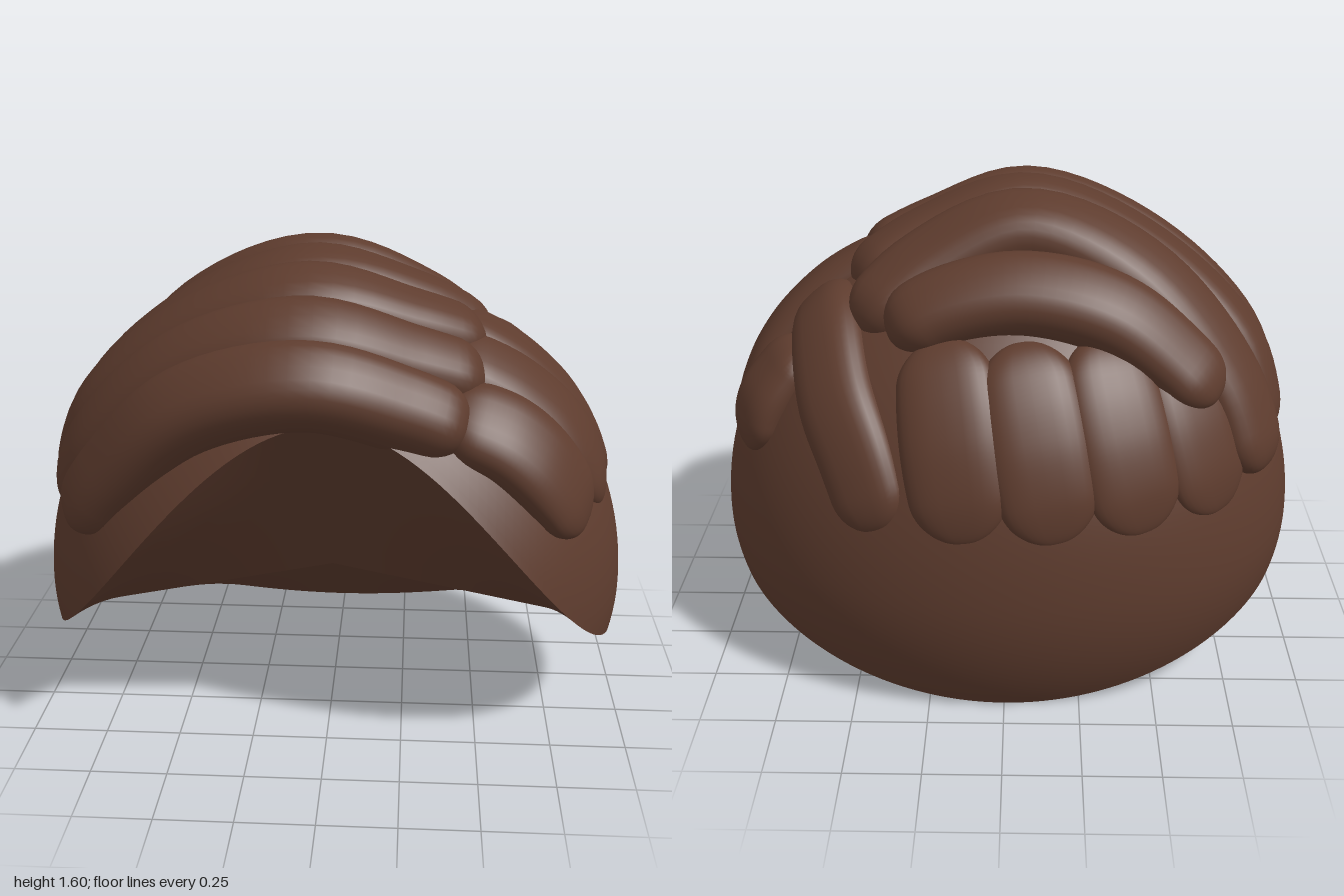
import * as THREE from 'three';
import { mergeVertices } from 'three/addons/utils/BufferGeometryUtils.js';

const V = (x, y, z) => new THREE.Vector3(x, y, z);
const CY = 0.45, CZ = 0.03; // centre of the egg-shaped scalp
const UP = 1.0, DOWN = 0.83, FRONT = 0.85, BACK = 0.8; // its radii (x radius is 1)

const hair = new THREE.MeshStandardMaterial({ color: 0x5e3c2e });
const hairDouble = new THREE.MeshStandardMaterial({ color: 0x5e3c2e, side: THREE.DoubleSide });

// Smooth surface from a function of u, v in 0..1
function surface(fn, nu, nv) {
  const pos = [], index = [];
  for (let i = 0; i <= nu; i++)
    for (let j = 0; j <= nv; j++) pos.push(...fn(i / nu, j / nv).toArray());
  for (let i = 0; i < nu; i++)
    for (let j = 0; j < nv; j++) {
      const a = i * (nv + 1) + j, b = a + nv + 1;
      index.push(a, b, a + 1, b, b + 1, a + 1);
    }
  let geo = new THREE.BufferGeometry();
  geo.setAttribute('position', new THREE.Float32BufferAttribute(pos, 3));
  geo.setIndex(index);
  geo = mergeVertices(geo, 1e-5);
  geo.computeVertexNormals();
  return geo;
}

// Point on the scalp: slice at x, angle a from the front over the top to the back
function scalp(x, a) {
  const s = Math.sqrt(Math.max(0, 1 - x * x)), sn = Math.sin(a), cs = Math.cos(a);
  return V(x, CY + s * sn * (sn > 0 ? UP : DOWN), CZ + s * cs * (cs > 0 ? FRONT : BACK));
}

function scalpNormal(p) {
  const ry = p.y > CY ? UP : DOWN, rz = p.z > CZ ? FRONT : BACK;
  return V(p.x, (p.y - CY) / ry ** 2, (p.z - CZ) / rz ** 2).normalize();
}

// Moves a point that has sunk into the scalp out to the given fraction of its radius
function rest([x, y, z], least) {
  const r = Math.hypot(x, (y - CY) / UP, (z - CZ) / (z > CZ ? FRONT : BACK));
  const k = Math.max(1, least / r);
  return [x * k, CY + (y - CY) * k, CZ + (z - CZ) * k];
}

// Angle at which the slice at x reaches height y
function angleAt(x, y) {
  const s = Math.sqrt(1 - x * x), k = (y - CY) / ((y > CY ? UP : DOWN) * s);
  return Math.asin(THREE.MathUtils.clamp(k, -1, 1));
}
const hairline = x => angleAt(x, 0.29 + 0.86 * Math.max(0, Math.cos(x / 0.975 * Math.PI / 2)) ** 1.2);
const nape = x => Math.PI - angleAt(x, 0.29 * x * x);
const slice = u => Math.sin((2 * u - 1) * Math.PI / 2 * 0.9999);

// Ridge where the two underside faces meet
function crease(x) {
  return V(x, Math.max(0.49 - 0.2 * Math.abs(x), scalp(x, nape(x)).y),
    Math.min(0.15, scalp(x, hairline(x)).z));
}

// Rounded lock of hair lying on the scalp, thinning to its tip; w and d are half width and half depth
function lock(name, points, w, d) {
  const curve = new THREE.CatmullRomCurve3(points.map(p => V(...p)), false, 'centripetal');
  const len = curve.getLength();
  const geo = surface((u, v) => {
    const t = (1 - Math.cos(u * Math.PI)) / 2;
    const p = curve.getPointAt(t), T = curve.getTangentAt(t), N = scalpNormal(p);
    N.addScaledVector(T, -N.dot(T)).normalize();
    const B = T.clone().cross(N);
    const end = Math.min(1, Math.min(t, 1 - t) * len / (w * 0.9));
    const round = Math.sqrt(Math.max(0, 1 - (1 - end) ** 2));
    const width = w * round * (0.86 + 0.14 * Math.sin(t * Math.PI));
    const depth = d * round * (1 - 0.3 * THREE.MathUtils.smoothstep(t, 0.5, 1));
    const th = v * Math.PI * 2 - Math.PI / 2;
    const c = Math.cos(th), s = Math.sin(th);
    return p.addScaledVector(B, Math.sign(c) * Math.abs(c) ** 0.75 * width)
      .addScaledVector(N, Math.sign(s) * Math.abs(s) ** 0.9 * depth);
  }, 48, 28);
  const mesh = new THREE.Mesh(geo, hair);
  mesh.name = name;
  return mesh;
}

export function createModel() {
  const model = new THREE.Group();
  model.name = 'hair';
  const add = (name, geo) => {
    const mesh = new THREE.Mesh(geo, hairDouble);
    mesh.name = name;
    model.add(mesh);
  };

  // Scalp cap and its two underside faces
  add('cap', surface((u, v) => {
    const x = slice(u);
    return scalp(x, THREE.MathUtils.lerp(hairline(x), nape(x), v));
  }, 96, 64));
  add('frontUnderside', surface((u, v) => {
    const x = slice(u);
    return crease(x).lerp(scalp(x, hairline(x)), v);
  }, 96, 6));
  add('napeUnderside', surface((u, v) => {
    const x = slice(u);
    return scalp(x, nape(x)).lerp(crease(x), v);
  }, 96, 6));

  // Long locks sweeping from the parting over the crown to the right side:
  // crown height, tip height, z at parting, crown and tip, x scale to tip and to parting, half width, half depth
  const sweepX = [0.4, 0.24, -0.06, -0.45, -0.73, -0.88];
  const rise = [0.54, 0.83, 1, 0.81, 0.36, 0];
  const toStart = [1, 0.4, 0, 0, 0, 0], toTip = [0, 0, 0, 0.25, 0.65, 1];
  [
    [1.35, 1.02, -0.37, -0.35, -0.42, 0.76, 0.9, 0.14, 0.11],
    [1.49, 0.74, -0.28, -0.12, -0.36, 0.95, 1.08, 0.155, 0.11],
    [1.5, 0.76, -0.07, 0.12, -0.12, 1, 1.08, 0.15, 0.1],
    [1.46, 0.77, 0.13, 0.32, 0.08, 1.01, 1.02, 0.145, 0.11],
    [1.38, 0.77, 0.31, 0.5, 0.27, 0.99, 1.04, 0.14, 0.12],
    [1.28, 0.75, 0.48, 0.635, 0.44, 0.94, 0.98, 0.14, 0.12],
  ].forEach(([top, tip, zs, zm, ze, toRight, toLeft, w, d], i) => {
    const pts = sweepX.map((x, k) => rest([
      x * (x < 0 ? toRight : toLeft),
      tip + (top - tip) * rise[k],
      zm + (zs - zm) * toStart[k] + (ze - zm) * toTip[k],
    ], [0.97, 0.99, 1.01, 1.01, 1.01, 0.965][k]));
    model.add(lock('sweptLock' + (i + 1), pts, w, d));
  });

  // Short locks falling from the parting down the left side
  [
    [[0.34, 1.15, 0.5], [0.57, 1.08, 0.51], [0.73, 0.92, 0.48], [0.82, 0.77, 0.43]],
    [[0.34, 1.24, 0.3], [0.6, 1.17, 0.28], [0.78, 1.0, 0.25], [0.87, 0.77, 0.2]],
    [[0.34, 1.3, 0.1], [0.6, 1.2, 0.08], [0.79, 1.0, 0.02], [0.89, 0.77, -0.05]],
    [[0.62, 1.1, -0.2], [0.73, 1.04, -0.23], [0.81, 0.93, -0.26], [0.86, 0.77, -0.28]],
  ].forEach((pts, i) => model.add(lock('sideLock' + (i + 1),
    pts.map(p => rest(p, 0.98)), i < 3 ? 0.155 : 0.13, i < 3 ? 0.08 : 0.07)));

  // Long lock running from the parting to the back
  model.add(lock('crossingLock', [[0.6, 1.17, 0.02], [0.58, 1.18, -0.2], [0.53, 1.03, -0.43],
    [0.46, 0.88, -0.56], [0.39, 0.67, -0.66]], 0.14, 0.09));

  // Locks fanning down the back
  [[-0.52, -0.7], [-0.3, -0.45], [-0.05, -0.17], [0.2, 0.12]].forEach(([x0, x1], i) => {
    const pts = [1.24, 1.06, 0.86, 0.67].map((y, k) => {
      const x = THREE.MathUtils.lerp(x0, x1, k / 3), p = scalp(x, Math.PI - angleAt(x, y));
      return p.addScaledVector(scalpNormal(p), -0.015).toArray();
    });
    model.add(lock('backLock' + (i + 1), pts, 0.165, 0.065));
  });

  return model;
}
